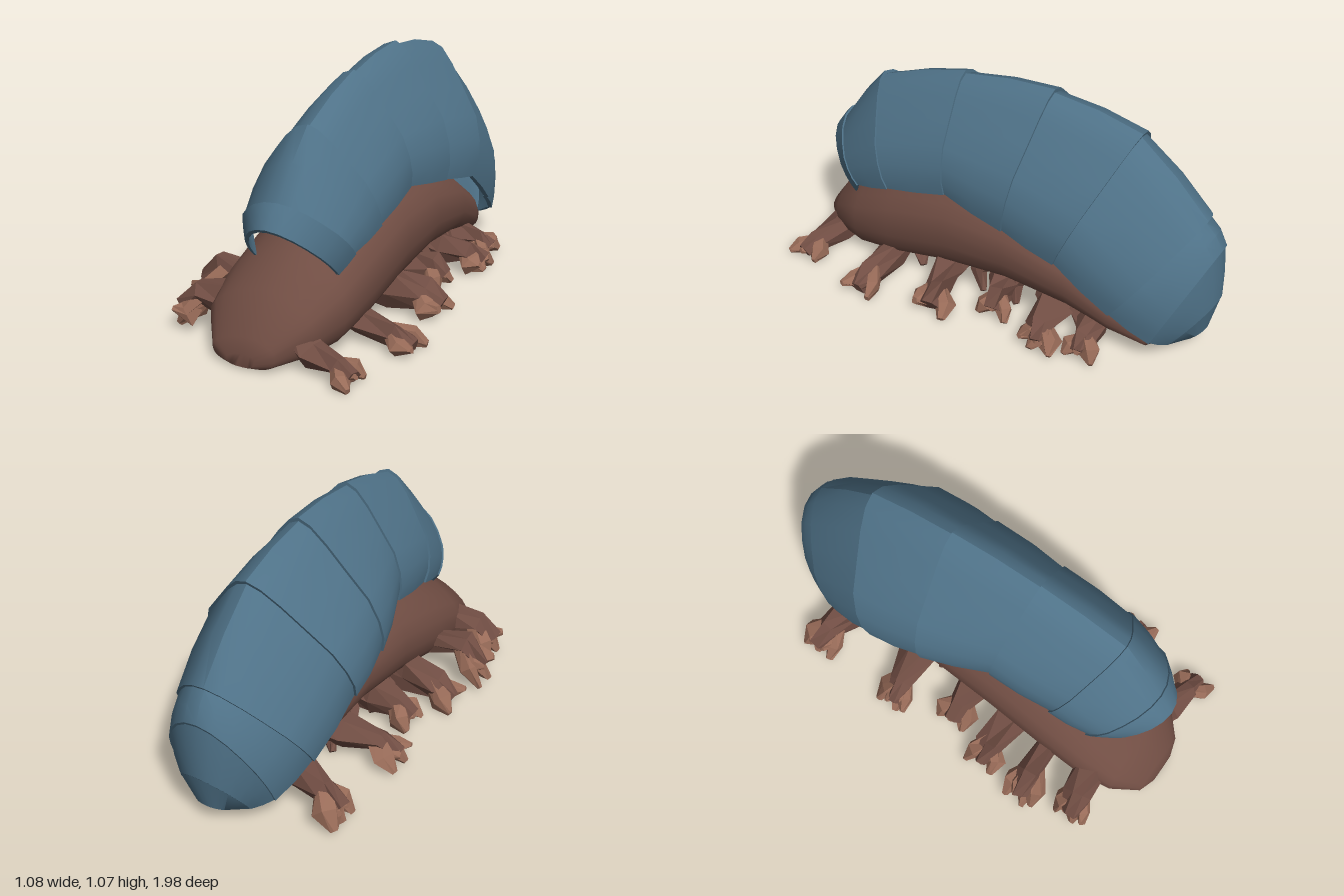
import * as THREE from 'three';
import { toCreasedNormals, mergeGeometries } from 'three/addons/utils/BufferGeometryUtils.js';

const lerp = THREE.MathUtils.lerp;

// Small seeded generator for the ragged limbs
let seed = 7;
function rnd() {
  seed = (seed * 16807) % 2147483647;
  return seed / 2147483647 - 0.5;
}

// Closed solid through a list of rings (even point count), faces turned outward
function loft(rings, crease) {
  const n = rings[0].length;
  const pos = rings.flat().flatMap((p) => [p.x, p.y, p.z]);
  const idx = [];
  for (let r = 0; r < rings.length - 1; r++) {
    for (let i = 0; i < n; i++) {
      const a = r * n + i, b = r * n + (i + 1) % n;
      idx.push(a, b, a + n, b, b + n, a + n);
    }
  }
  // End caps: strip joining point i with its opposite n-1-i
  const last = (rings.length - 1) * n;
  for (let i = 0; i < n / 2 - 1; i++) {
    const j = n - 1 - i;
    idx.push(i, j, i + 1, i + 1, j, j - 1);
    idx.push(last + i, last + i + 1, last + j, last + i + 1, last + j - 1, last + j);
  }
  const v = (i) => new THREE.Vector3().fromArray(pos, idx[i] * 3);
  let volume = 0;
  for (let i = 0; i < idx.length; i += 3) volume += v(i).dot(v(i + 1).cross(v(i + 2)));
  if (volume < 0) idx.reverse();
  const g = new THREE.BufferGeometry();
  g.setAttribute('position', new THREE.Float32BufferAttribute(pos, 3));
  g.setIndex(idx);
  return toCreasedNormals(g, crease);
}

// Half of the ridged arch: sideways fraction, height fraction
const ARCH = [[0, 1], [0.15, 0.96], [0.34, 0.84], [0.56, 0.67], [0.84, 0.46], [0.96, 0.28], [1, 0.13], [0.97, 0]];

// Shell hoops: top z, top y, side z, side y, x right edge, x left edge, ridge x, roundness
const HOOPS = [
  [0.91, 0.57, 0.70, 0.35, -0.14, 0.26, 0.06, 0.8],
  [0.84, 0.66, 0.65, 0.43, -0.20, 0.31, 0.07, 0.7],
  [0.63, 0.92, 0.47, 0.49, -0.23, 0.33, 0.08, 0.2],
  [0.22, 1.04, 0.18, 0.56, -0.26, 0.31, 0.05, 0.1],
  [-0.20, 1.07, -0.12, 0.50, -0.36, 0.33, 0.02, 0],
  [-0.60, 0.98, -0.38, 0.44, -0.39, 0.34, 0, 0.1],
  [-0.91, 0.66, -0.63, 0.25, -0.34, 0.30, -0.01, 0.5],
  [-0.98, 0.53, -0.80, 0.13, -0.26, 0.24, -0.02, 0.8],
  [-0.99, 0.27, -0.85, 0.08, -0.17, 0.15, -0.02, 1],
  [-0.95, 0.10, -0.88, 0.06, -0.09, 0.07, -0.02, 1],
];

// Outline of a hoop at scale s, with an inner line set in by the thickness
function hoopRing([tz, ty, bz, by, xr, xl, ridge, round], s, inner) {
  const line = (k) => {
    const point = (side, [w, h]) => new THREE.Vector3(
      ridge + (side - ridge) * lerp(w, Math.sqrt(1 - h * h), round) * k,
      lerp(by, ty, h * k), lerp(bz, tz, h * k));
    return [...ARCH.slice(1).reverse().map((a) => point(xr, a)), ...ARCH.map((a) => point(xl, a))];
  };
  return [...line(s), ...line(s * inner).reverse()];
}

function plate(a, b, i) {
  const mid = a.map((v, k) => (v + b[k]) / 2);
  return loft([hoopRing(a, i ? 0.97 : 1, 0.93), hoopRing(mid, 1.01, 0.92), hoopRing(b, 1, 0.92)], 0.55);
}

// Rounded solid end closing the shell
function tailCap(a, b) {
  return loft([hoopRing(a, 0.98, 0.7), hoopRing(b, 1, 0.02)], 0.8);
}

// Body slices: z, top, belly, x right, x left
const SLICES = [
  [0.99, 0.07, 0.01, -0.09, 0.04], [0.965, 0.13, 0, -0.17, 0.12],
  [0.85, 0.29, 0, -0.26, 0.23], [0.7, 0.40, 0, -0.29, 0.29],
  [0.5, 0.50, 0.03, -0.295, 0.31], [0.2, 0.58, 0.10, -0.29, 0.31],
  [-0.1, 0.56, 0.14, -0.28, 0.30], [-0.4, 0.46, 0.12, -0.27, 0.28],
  [-0.6, 0.32, 0.06, -0.25, 0.25], [-0.75, 0.20, 0.01, -0.20, 0.19],
  [-0.81, 0.12, 0.03, -0.10, 0.10],
];

function bodyRing([z, top, belly, xr, xl]) {
  const soft = (v, p) => Math.sign(v) * Math.abs(v) ** p;
  return Array.from({ length: 24 }, (_, i) => {
    const a = ((i + 0.5) / 24) * Math.PI * 2;
    // Sloping shoulders above with the crest a little to the left, squarer below
    const p = Math.sin(a) > 0 ? 1.12 : 0.7;
    const u = soft(Math.cos(a), p), h = soft(Math.sin(a), p);
    const x = (xr + xl) / 2 + u * (xl - xr) / 2 + Math.max(h, 0) * 0.03;
    return new THREE.Vector3(x, lerp(belly, top, (h + 1) / 2), z);
  });
}

// Rough faceted limb through points with a radius at each
function limb(points, radii) {
  const rings = points.map((p, i) => {
    const dir = points[Math.min(i + 1, points.length - 1)].clone()
      .sub(points[Math.max(i - 1, 0)]).normalize();
    const side = new THREE.Vector3().crossVectors(dir, new THREE.Vector3(0, 1, 0.01)).normalize();
    const up = new THREE.Vector3().crossVectors(side, dir);
    return Array.from({ length: 6 }, (_, k) => {
      const a = (k / 6) * Math.PI * 2, r = radii[i] * (1 + rnd() * 0.8);
      const q = p.clone().addScaledVector(side, Math.cos(a) * r).addScaledVector(up, Math.sin(a) * r);
      q.y = Math.max(q.y, 0);
      return q;
    });
  });
  return loft(rings, 0.01);
}

// Bent thigh reaching out from under the belly
function thigh(rootX, tipX, z, tipZ, kneeY, r) {
  const P = (t, y) => new THREE.Vector3(lerp(rootX, tipX, t), y, lerp(z, tipZ, t));
  return limb([P(0, 0.13), P(0.38, lerp(0.11, kneeY, 0.6)), P(0.76, kneeY), P(0.95, kneeY * 0.55)],
    [r * 1.5, r * 1.4, r, r * 0.7]);
}

// Splayed foot of jagged claws
function foot(rootX, tipX, z, tipZ, kneeY, r, claws) {
  const P = (t, y, dz) => new THREE.Vector3(lerp(rootX, tipX, t), y, lerp(z, tipZ, t) + dz);
  return mergeGeometries(Array.from({ length: claws }, (_, i) => {
    const spread = (i / (claws - 1) - 0.5) * 0.14;
    return limb([P(0.7, kneeY * 0.95, 0), P(0.86, kneeY * 0.5, spread * 0.8),
      P(1, 0.015 + (i % 2) * kneeY * 0.5, spread)], [r * 0.7, r * 0.85, r * 0.25]);
  }));
}

// root x, tip x, root z, tip z, knee height, thickness, claws
const LEGS = [
  [-0.1, -0.46, 0.7, 0.77, 0.17, 0.055, 4], [-0.08, -0.53, 0.5, 0.54, 0.19, 0.055, 4],
  [-0.08, -0.51, 0.28, 0.30, 0.1, 0.055, 2], [-0.08, -0.41, 0.06, 0.07, 0.1, 0.055, 3],
  [-0.08, -0.51, -0.25, -0.20, 0.12, 0.05, 4], [-0.1, -0.49, -0.57, -0.65, 0.14, 0.06, 5],
  [0.1, 0.45, 0.8, 0.9, 0.06, 0.045, 3], [0.08, 0.53, 0.5, 0.53, 0.06, 0.05, 2],
  [0.08, 0.47, 0.22, 0.17, 0.09, 0.06, 2], [0.08, 0.34, -0.05, -0.08, 0.1, 0.055, 3],
  [0.08, 0.42, -0.3, -0.35, 0.09, 0.055, 4], [0.08, 0.37, -0.52, -0.53, 0.08, 0.05, 3],
];

export function createModel() {
  seed = 7;
  const material = (name, color) => {
    const m = new THREE.MeshStandardMaterial({ color });
    m.name = name;
    return m;
  };
  const shellBlue = material('shellBlue', 0x4f7288);
  const bodyBrown = material('bodyBrown', 0x704d43);
  const footTan = material('footTan', 0x986b58);

  const model = new THREE.Group();
  model.name = 'armouredGrub';
  const group = (name) => {
    const g = new THREE.Group();
    g.name = name;
    model.add(g);
    return g;
  };
  const add = (parent, name, geometry, mat) => {
    const mesh = new THREE.Mesh(geometry, mat);
    mesh.name = name;
    parent.add(mesh);
  };

  add(model, 'body', loft(SLICES.map(bodyRing), 1), bodyBrown);

  const shell = group('shell');
  for (let i = 0; i < HOOPS.length - 2; i++) {
    add(shell, `shellPlate${i + 1}`, plate(HOOPS[i], HOOPS[i + 1], i), shellBlue);
  }
  add(shell, 'tailCap', tailCap(...HOOPS.slice(-2)), shellBlue);

  const legs = group('legs');
  LEGS.forEach((l, i) => {
    const label = `${l[1] < 0 ? 'right' : 'left'}Leg${(i % 6) + 1}`;
    add(legs, `${label}Thigh`, thigh(...l), bodyBrown);
    add(legs, `${label}Foot`, foot(...l), footTan);
  });

  // Short stubs between the legs along the belly
  const stubs = group('bellyStubs');
  for (let i = 0; i < 6; i++) {
    for (const s of [-1, 1]) {
      const z = 0.4 - i * 0.17;
      const P = (x, y, dz) => new THREE.Vector3(s * x, y, z + dz);
      add(stubs, 'bellyStub', limb([P(0.1, 0.17, 0), P(0.16, 0.08, 0.03), P(0.21, 0.02, -0.02)],
        [0.06, 0.045, 0.015]), bodyBrown);
    }
  }
  return model;
}
